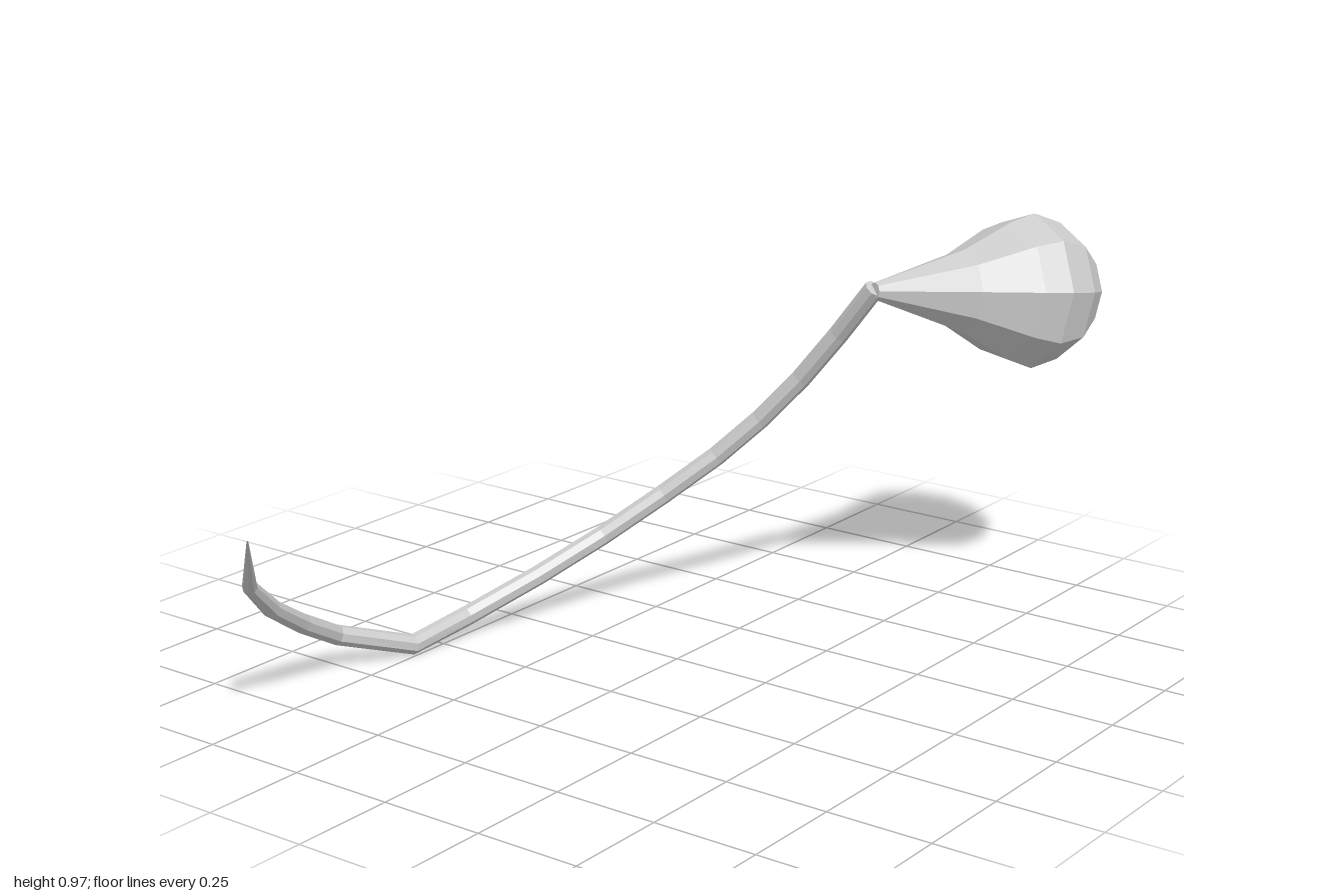
import * as THREE from 'three';

const material = new THREE.MeshStandardMaterial({ color: 0xcccccc, flatShading: true, side: THREE.DoubleSide });

// Curve that passes exactly through its points, one tube ring per point
class StepCurve extends THREE.Curve {
  constructor(points) {
    super();
    this.points = points;
  }
  getPointAt(u, target = new THREE.Vector3()) {
    return target.copy(this.points[Math.round(u * (this.points.length - 1))]);
  }
  getTangentAt(u, target = new THREE.Vector3()) {
    const p = this.points, n = p.length - 1, i = Math.round(u * n);
    return target.subVectors(p[Math.min(n, i + 1)], p[Math.max(0, Math.min(i - 1, n - 2))]).normalize();
  }
}

// Tube with its own radius at each ring: rows are [x, y, z, radius]
function taperedTube(rows, sides) {
  const points = rows.map(([x, y, z]) => new THREE.Vector3(x, y, z));
  const geometry = new THREE.TubeGeometry(new StepCurve(points), rows.length - 1, 1, sides);
  const pos = geometry.attributes.position, v = new THREE.Vector3();
  for (let i = 0; i < pos.count; i++) {
    const ring = Math.floor(i / (sides + 1));
    v.fromBufferAttribute(pos, i).sub(points[ring]).multiplyScalar(rows[ring][3]).add(points[ring]);
    pos.setXYZ(i, v.x, v.y, v.z);
  }
  geometry.computeVertexNormals();
  return geometry;
}

export function createModel() {
  const group = new THREE.Group();

  // Curved shaft, from the sharp hook tip round to the bulb
  const r = 0.024;
  const shaft = new THREE.Mesh(taperedTube([
    [-0.365, 0.49, 0.998, 0.002],
    [-0.487, 0.33, 0.88, 0.017],
    [-0.53, 0.24, 0.775, 0.022],
    [-0.565, 0.16, 0.65, r],
    [-0.585, 0.088, 0.52, r],
    [-0.515, 0.025, 0.34, r],
    [-0.495, 0.05, 0.17, r],
    [-0.415, 0.12, 0, r],
    [-0.33, 0.2, -0.145, r],
    [-0.23, 0.295, -0.255, r],
    [-0.13, 0.39, -0.335, r],
    [-0.04, 0.485, -0.385, r],
    [0.055, 0.595, -0.418, r],
    [0.15, 0.715, -0.432, r],
    [0.25, 0.84, -0.425, r],
    [0.25, 0.84, -0.425, 0], // closes the end
  ], 8), material);
  shaft.name = 'hookShaft';
  group.add(shaft);

  // Nine-sided teardrop bulb, swelling backwards from the end of the shaft
  const profile = [
    [0, 0], [0.02, 0], [0.097, 0.24], [0.165, 0.37], [0.186, 0.435],
    [0.165, 0.515], [0.1, 0.59], [0, 0.625],
  ].map(([x, y]) => new THREE.Vector2(x, y));
  const bulbGeometry = new THREE.LatheGeometry(profile, 9, Math.PI);
  bulbGeometry.rotateX(Math.PI / 2);
  const bulb = new THREE.Mesh(bulbGeometry, material);
  bulb.name = 'bulb';
  bulb.position.set(0.253, 0.835, -0.42);
  bulb.lookAt(0.253 + 0.39, 0.835 - 0.12, -0.42 - 0.92);
  group.add(bulb);

  return group;
}
